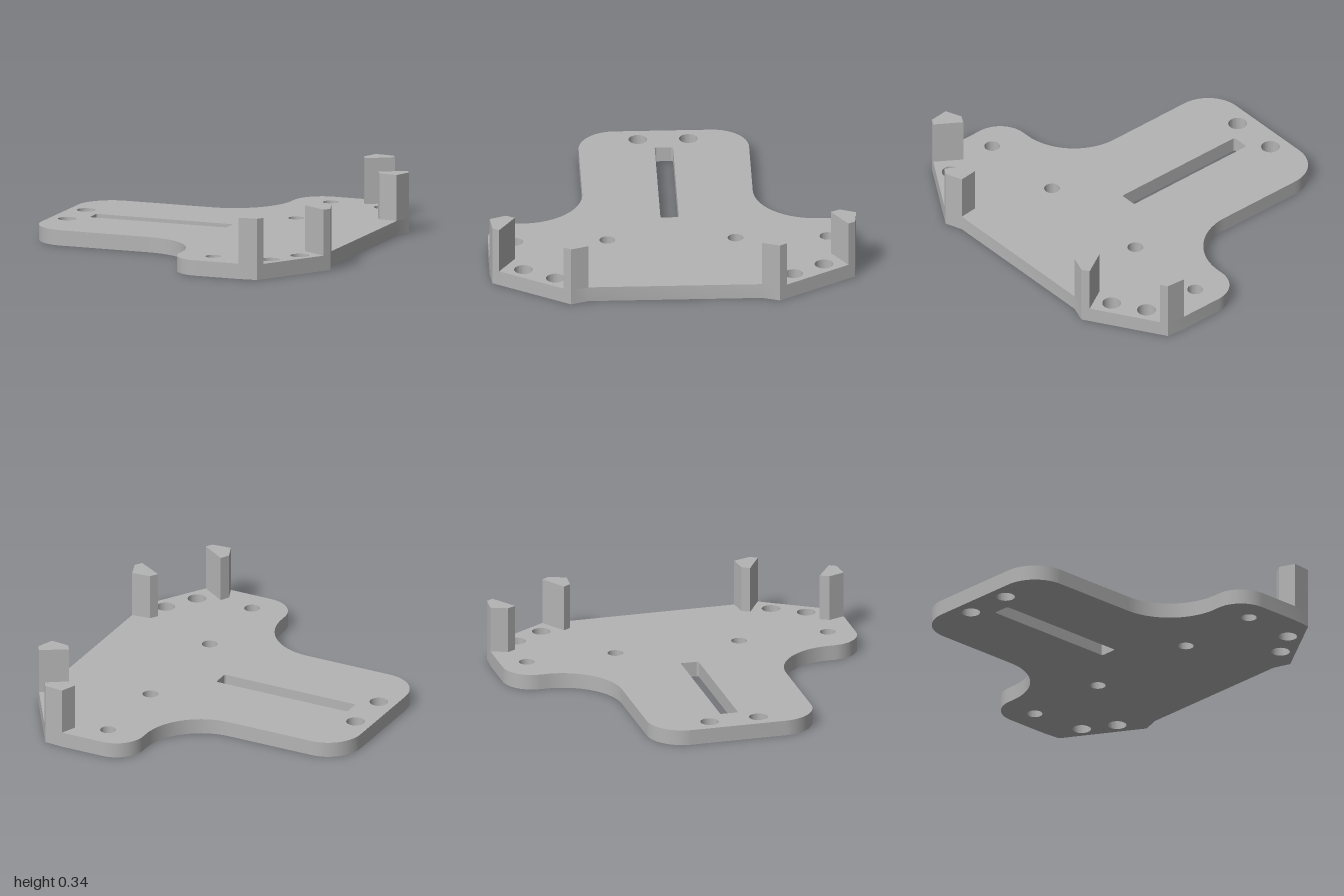
import * as THREE from 'three';
import { toCreasedNormals } from 'three/addons/utils/BufferGeometryUtils.js';

const PLATE = 0.085, TOP = 0.34;

// Extrude a plan-view shape upward between two heights
function slab(shape, y0, y1, material, name) {
  const geo = new THREE.ExtrudeGeometry(shape, { depth: y1 - y0, bevelEnabled: false, curveSegments: 24 });
  geo.rotateX(-Math.PI / 2);
  geo.translate(0, y0, 0);
  const mesh = new THREE.Mesh(toCreasedNormals(geo, 0.5), material);
  mesh.name = name;
  return mesh;
}

function circleHole(x, z, r) {
  return new THREE.Path().absarc(x, z, r, 0, Math.PI * 2, true);
}

export function createModel() {
  const group = new THREE.Group();
  group.name = 'mountingPlate';
  const grey = new THREE.MeshStandardMaterial({ color: 0xb4b4b4 });
  grey.name = 'grey';
  const H = Math.PI / 2;

  // T-shaped outline with rounded corners and filleted neck
  const s = new THREE.Shape();
  s.moveTo(0.874, -0.474);
  s.lineTo(0.874, 0.474);
  s.lineTo(0.908, 0.57);
  s.lineTo(0.647, 0.99);
  s.lineTo(0.54, 1);
  s.absarc(0.29, 0.835, 0.165, H, 2 * H, false);
  s.absarc(-0.21, 0.8, 0.335, 0, -H, true);
  s.absarc(-0.715, 0.265, 0.2, H, 2 * H, false);
  s.absarc(-0.715, -0.265, 0.2, 2 * H, 3 * H, false);
  s.absarc(-0.21, -0.8, 0.335, H, 0, true);
  s.absarc(0.29, -0.835, 0.165, 2 * H, 3 * H, false);
  s.lineTo(0.54, -1);
  s.lineTo(0.647, -0.99);
  s.lineTo(0.908, -0.57);
  s.closePath();

  // Screw holes, mirrored across the centre line
  const holes = [
    [0.333, 0.852, 0.043], [0.333, 0.35, 0.043],
    [0.655, 0.82, 0.051], [0.76, 0.65, 0.051], [-0.817, 0.138, 0.051],
  ];
  for (const side of [1, -1])
    for (const [x, z, r] of holes) s.holes.push(circleHole(x, side * z, r));

  // Long slot with slightly eased corners
  const slot = new THREE.Path(), e = 0.01;
  slot.absarc(-0.72 + e, -0.05 + e, e, 3 * H, 2 * H, true);
  slot.absarc(-0.72 + e, 0.05 - e, e, 2 * H, H, true);
  slot.absarc(0.085 - e, 0.05 - e, e, H, 0, true);
  slot.absarc(0.085 - e, -0.05 + e, e, 0, -H, true);
  slot.closePath();
  s.holes.push(slot);
  group.add(slab(s, 0, PLATE, grey, 'basePlate'));

  // Five-sided corner posts at the ends of the angled edges
  const posts = {
    outerPost: [[0.54, 1], [0.647, 0.99], [0.67, 0.953], [0.531, 0.862], [0.505, 0.91]],
    innerPost: [[0.908, 0.57], [0.874, 0.474], [0.769, 0.485], [0.742, 0.527], [0.883, 0.61]],
  };
  for (const [name, pts] of Object.entries(posts))
    for (const side of [1, -1]) {
      const shape = new THREE.Shape(pts.map(([x, z]) => new THREE.Vector2(x, side * z)));
      group.add(slab(shape, PLATE, TOP, grey, name + (side > 0 ? 'Back' : 'Front')));
    }
  return group;
}
